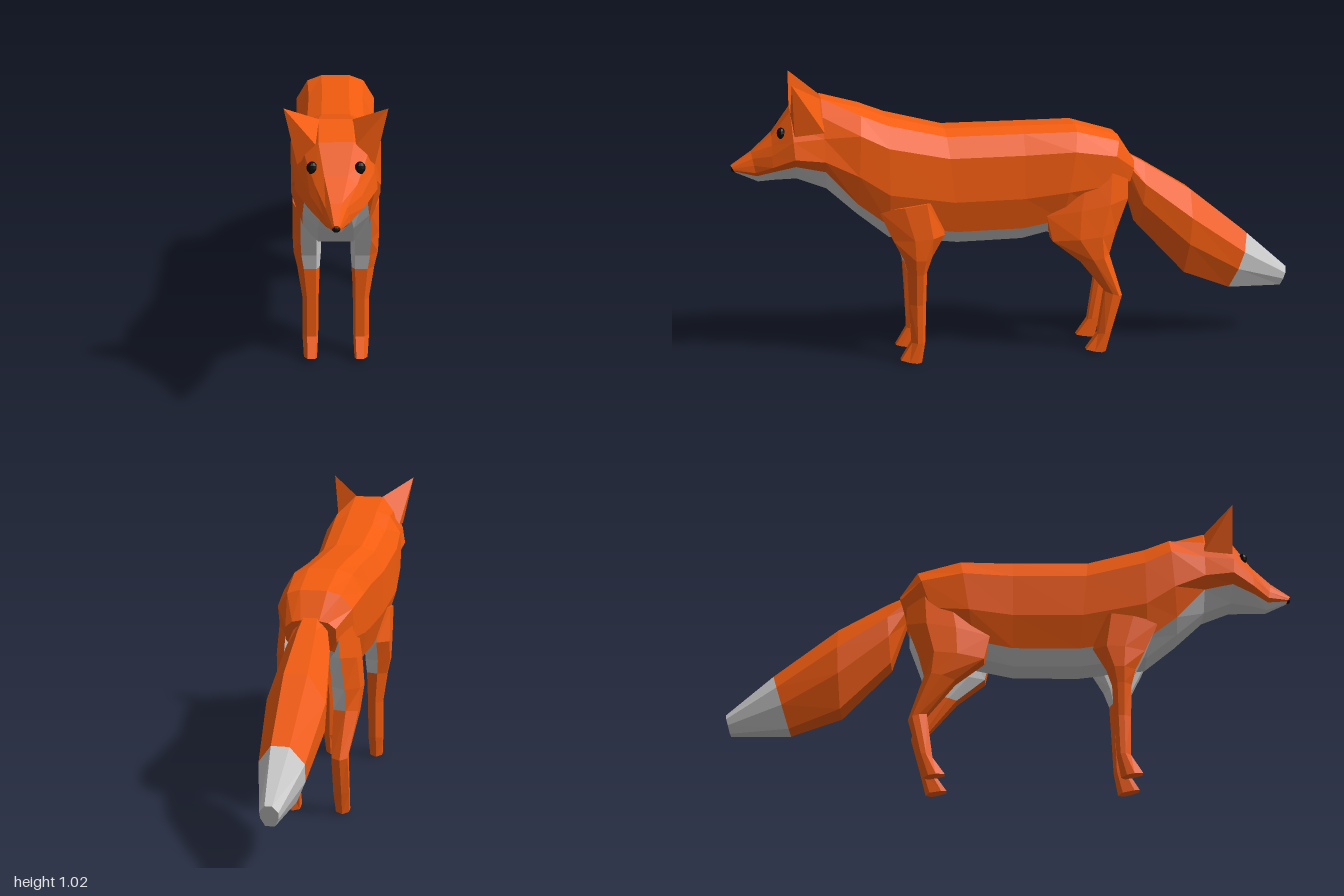
import * as THREE from 'three';

const paint = (color) => new THREE.MeshStandardMaterial({ color, flatShading: true });
const orange = paint(0xf25c0f);
const grey = paint(0xcccccc);
const black = paint(0x0a0a0a);

const mirrored = (half) => [...half, ...[...half].reverse().map(([u, v]) => [-u, v])];

// A ring lies between points a and b of the side profile; u runs across, v from a to b.
function ring([za, ya, zb, yb, w, xc = 0], outline) {
  return outline.map(([u, v]) => new THREE.Vector3(xc + u * w, ya + (yb - ya) * v, za + (zb - za) * v));
}

// Skins a row of rings, caps both ends and splits the facets by colour.
function loft(name, rings, isGrey) {
  const tris = [];
  const n = rings[0].length;
  for (let i = 0; i < rings.length - 1; i++) {
    for (let j = 0; j < n; j++) {
      const k = (j + 1) % n;
      const [a, b, c, d] = [rings[i][j], rings[i][k], rings[i + 1][k], rings[i + 1][j]];
      const g = isGrey(i, j);
      tris.push({ p: [a, b, c], g }, { p: [a, c, d], g });
    }
  }
  [0, rings.length - 1].forEach((i) => {
    const mid = rings[i].reduce((s, p) => s.add(p), new THREE.Vector3()).divideScalar(n);
    for (let j = 0; j < n; j++) {
      const k = (j + 1) % n;
      const p = i === 0 ? [rings[i][k], rings[i][j], mid] : [rings[i][j], rings[i][k], mid];
      tris.push({ p, g: isGrey(Math.min(i, rings.length - 2), -1) });
    }
  });
  // Turn every facet outwards
  const volume = tris.reduce((s, { p }) => s + p[0].dot(p[1].clone().cross(p[2])), 0);
  if (volume < 0) tris.forEach((t) => t.p.reverse());

  const group = new THREE.Group();
  group.name = name;
  [[false, orange, 'Fur'], [true, grey, 'PaleFur']].forEach(([g, material, suffix]) => {
    const points = tris.filter((t) => t.g === g).flatMap((t) => t.p);
    if (!points.length) return;
    const geometry = new THREE.BufferGeometry().setFromPoints(points);
    geometry.computeVertexNormals();
    const mesh = new THREE.Mesh(geometry, material);
    mesh.name = name + suffix;
    group.add(mesh);
  });
  return group;
}

const headOutline = mirrored([[0.42, 0], [0.75, 0.18], [0.92, 0.4], [1, 0.65], [0.75, 0.78], [0.35, 1]]);
const bodyOutline = mirrored([[0.36, 0], [0.72, 0.05], [1, 0.22], [1, 0.6], [0.75, 0.88], [0.4, 1]]);
const tailOutline = mirrored([[0.4, 0], [1, 0.3], [0.95, 0.62], [0.5, 1]]);
const legOutline = [[-0.7, 0], [0.4, 0], [1, 0.4], [1, 0.75], [0.1, 1], [-1, 0.8], [-1, 0.25]];

// Sections: z and y of the top, z and y of the bottom, half width
const headSections = [
  [1.0, 0.725, 0.985, 0.7, 0.014],
  [0.93, 0.77, 0.91, 0.668, 0.042],
  [0.86, 0.83, 0.86, 0.675, 0.085],
  [0.795, 0.915, 0.78, 0.68, 0.127],
  [0.69, 0.955, 0.68, 0.64, 0.128],
];
const bodySections = [
  [0.56, 0.92, 0.58, 0.55, 0.143],
  [0.47, 0.885, 0.47, 0.46, 0.145],
  [0.27, 0.835, 0.23, 0.428, 0.132],
  [0.0, 0.835, 0.0, 0.43, 0.13],
  [-0.19, 0.835, -0.13, 0.46, 0.14],
  [-0.345, 0.79, -0.25, 0.51, 0.127],
  [-0.405, 0.7, -0.37, 0.58, 0.085],
];
const tailSections = [
  [-0.37, 0.725, -0.38, 0.61, 0.05],
  [-0.45, 0.68, -0.43, 0.45, 0.075],
  [-0.62, 0.575, -0.6, 0.27, 0.097],
  [-0.84, 0.4, -0.775, 0.2, 0.074],
  [-1.0, 0.26, -0.98, 0.19, 0.03],
];

// Leg sections: z and y of the front, z and y of the back, inner and outer x
const frontLegSections = [
  [0.51, 0.57, 0.29, 0.6, 0.05, 0.143],
  [0.46, 0.46, 0.28, 0.47, 0.05, 0.145],
  [0.425, 0.39, 0.325, 0.39, 0.05, 0.142],
  [0.41, 0.335, 0.343, 0.335, 0.054, 0.13],
  [0.405, 0.22, 0.347, 0.22, 0.058, 0.113],
  [0.4, 0.08, 0.352, 0.08, 0.06, 0.114],
  [0.44, 0.015, 0.365, 0.0, 0.064, 0.109],
];
const hindLegSections = [
  [-0.12, 0.66, -0.375, 0.7, 0.04, 0.122],
  [-0.08, 0.52, -0.375, 0.57, 0.045, 0.138],
  [-0.1, 0.43, -0.33, 0.45, 0.05, 0.145],
  [-0.2, 0.35, -0.308, 0.37, 0.055, 0.14],
  [-0.295, 0.23, -0.36, 0.21, 0.06, 0.115],
  [-0.272, 0.07, -0.325, 0.085, 0.06, 0.114],
  [-0.23, 0.012, -0.303, 0.0, 0.064, 0.109],
];

function leg(name, sections, side, isGrey) {
  const outline = legOutline.map(([u, v]) => [u * side, v]);
  const rings = sections.map(([za, ya, zb, yb, x0, x1]) =>
    ring([za, ya, zb, yb, (x1 - x0) / 2, (side * (x0 + x1)) / 2], outline));
  return loft(name, rings, isGrey);
}

// Pointed ear on a four-cornered base
function ear(name, side) {
  const base = [[0.047, 0.952, 0.69], [0.056, 0.9, 0.795], [0.118, 0.84, 0.785], [0.12, 0.85, 0.685]];
  const tip = new THREE.Vector3(0.157 * side, 1.02, 0.79);
  return loft(name, [
    base.map(([x, y, z]) => new THREE.Vector3(x * side, y, z)),
    base.map(() => tip),
  ], () => false);
}

function ball(name, r, x, y, z, scale) {
  const mesh = new THREE.Mesh(new THREE.SphereGeometry(r, 10, 6), black);
  mesh.name = name;
  mesh.position.set(x, y, z);
  mesh.scale.set(...scale);
  return mesh;
}

export function createModel() {
  const model = new THREE.Group();
  model.name = 'fox';

  // Head, neck and trunk in one skin, pale from chin to belly
  const trunk = [
    ...headSections.map((s) => ring(s, headOutline)),
    ...bodySections.map((s) => ring(s, bodyOutline)),
  ];
  model.add(loft('body', trunk, (i, j) => j >= 4 && j <= 6));

  // Tail with a pale tip
  model.add(loft('tail', tailSections.map((s) => ring(s, tailOutline)), (i) => i === 3));

  // Paired legs, ears and eyes
  [[1, 'left'], [-1, 'right']].forEach(([side, label]) => {
    model.add(leg(label + 'FrontLeg', frontLegSections, side, (i, j) => i < 3 && (j === 0 || j >= 4)));
    model.add(leg(label + 'HindLeg', hindLegSections, side, (i, j) => i < 3 && j >= 4));
    model.add(ear(label + 'Ear', side));
    model.add(ball(label + 'Eye', 0.019, 0.072 * side, 0.845, 0.828, [0.9, 1.05, 0.8]));
  });

  model.add(ball('nose', 0.013, 0, 0.712, 0.99, [1, 0.85, 0.8]));
  return model;
}
